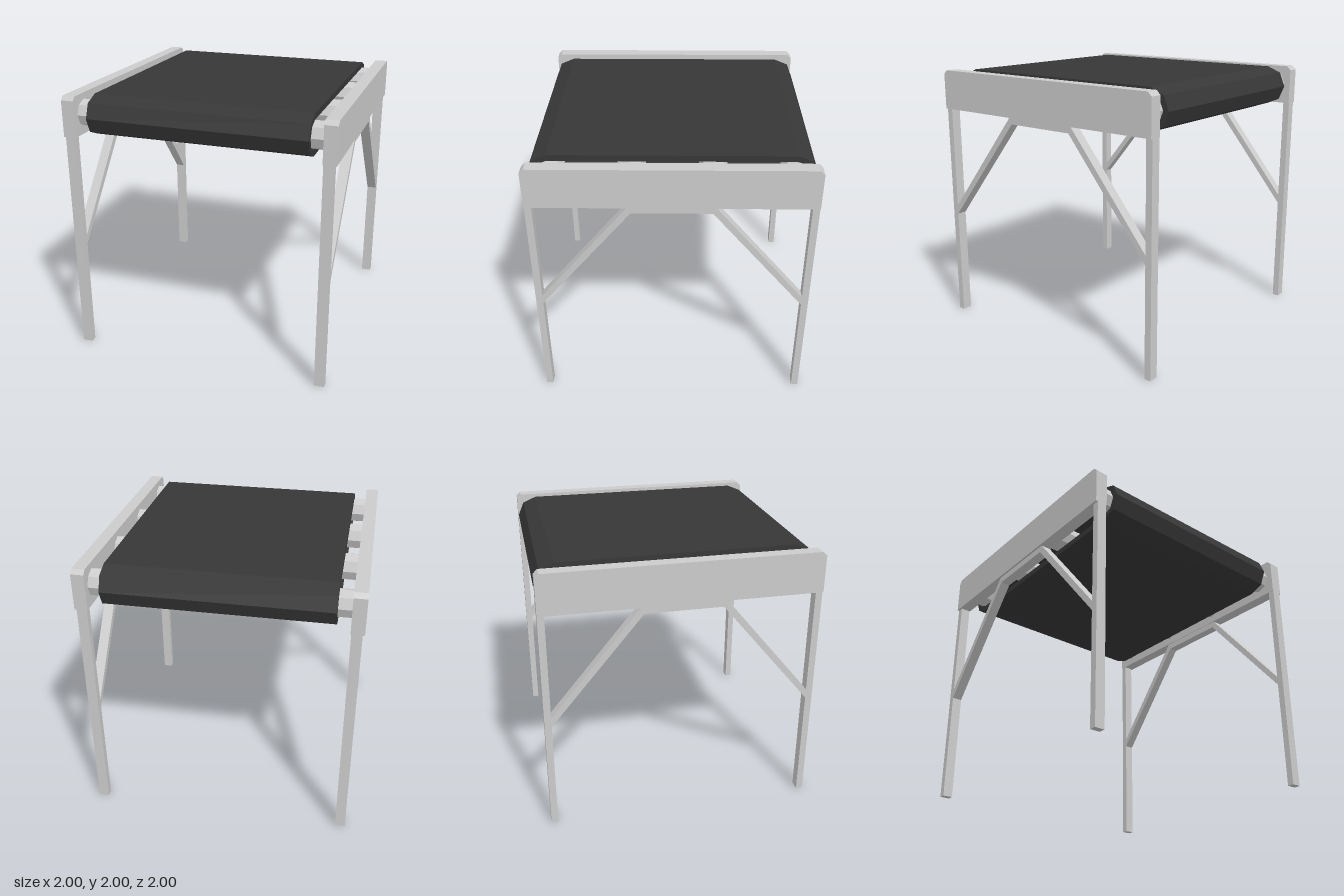
import * as THREE from 'three';

const grey = new THREE.MeshStandardMaterial({ color: 0xcccccc, flatShading: true });
const rubber = new THREE.MeshStandardMaterial({ color: 0x373737, flatShading: true });

const toPoints = (list) => list.map(([z, y]) => new THREE.Vector2(z, y));

// Extrude a side profile (z, y) from x0 to x1; all profiles are symmetric in z
function extrudeAcross(shape, x0, x1) {
  const geometry = new THREE.ExtrudeGeometry(shape, { depth: x1 - x0, bevelEnabled: false });
  geometry.rotateY(Math.PI / 2);
  geometry.translate(x0, 0, 0);
  return geometry;
}

// Loop around the two end rollers, with half-octagon ends
function beltLoop(radius) {
  const points = [];
  for (const end of [1, -1]) {
    for (let i = 0; i <= 4; i++) {
      const a = -Math.PI / 2 + (i * Math.PI) / 4;
      points.push([end * (0.85 + radius * Math.cos(a)), 1.85 + end * radius * Math.sin(a)]);
    }
  }
  return toPoints(points);
}

export function createModel() {
  const model = new THREE.Group();
  const add = (parent, name, geometry, material = grey) => {
    const mesh = new THREE.Mesh(geometry, material);
    mesh.name = name;
    parent.add(mesh);
    return mesh;
  };

  // Belt: a hollow band wrapped around the rollers
  const belt = new THREE.Shape(beltLoop(0.15));
  belt.holes.push(new THREE.Path(beltLoop(0.105)));
  add(model, 'belt', extrudeAcross(belt, -0.81, 0.81), rubber);

  // Four octagonal rollers between the rails
  for (let i = 0; i < 4; i++) {
    const roller = new THREE.CylinderGeometry(0.1, 0.1, 1.82, 8);
    roller.rotateZ(Math.PI / 2);
    add(model, 'roller', roller).position.set(0, 1.855, -0.853 + i * 0.568);
  }

  const railShape = new THREE.Shape(toPoints([
    [-1, 1.7], [1, 1.7], [1, 1.97], [0.97, 2], [-0.97, 2], [-1, 1.97],
  ]));
  const braceShape = new THREE.Shape(toPoints([
    [0.95, 0.84], [0.95, 0.91], [0.3, 1.7], [-0.3, 1.7],
    [-0.95, 0.91], [-0.95, 0.84], [-0.28, 1.65], [0.28, 1.65],
  ]));

  // Side frames: rail, bent brace and two legs
  for (const side of [1, -1]) {
    const frame = new THREE.Group();
    frame.name = side > 0 ? 'leftFrame' : 'rightFrame';
    const span = (a, b) => (side > 0 ? [a, b] : [-b, -a]);
    add(frame, 'rail', extrudeAcross(railShape, ...span(0.905, 1)));
    add(frame, 'brace', extrudeAcross(braceShape, ...span(0.91, 0.985)));
    for (const end of [1, -1]) {
      add(frame, end > 0 ? 'frontLeg' : 'backLeg', new THREE.BoxGeometry(0.075, 1.7, 0.05))
        .position.set(side * 0.9475, 0.85, end * 0.975);
    }
    model.add(frame);
  }
  return model;
}
